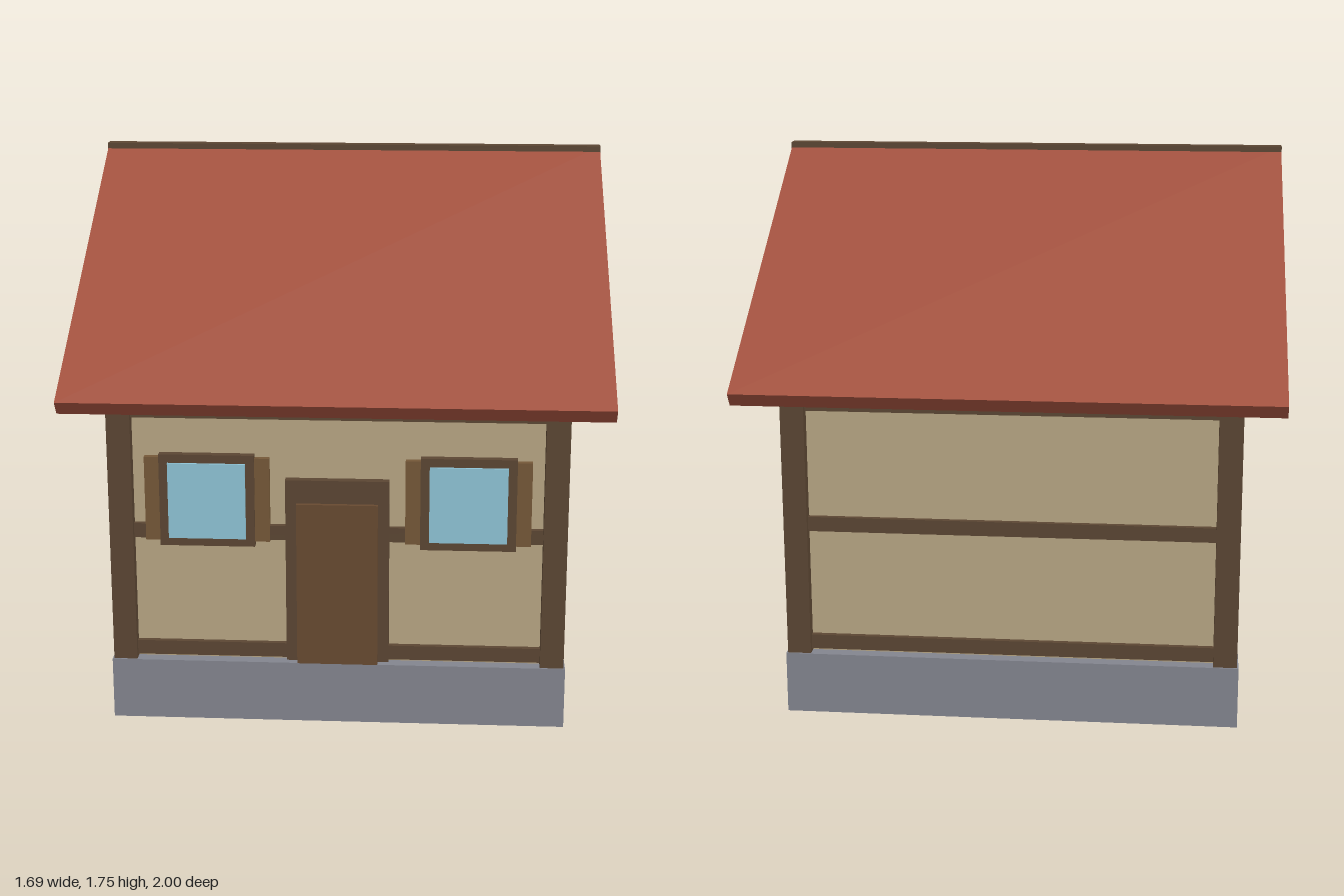
import * as THREE from 'three';

const mat = (color) => new THREE.MeshStandardMaterial({ color, flatShading: true });

export function createModel() {
  const house = new THREE.Group();
  house.name = 'house';
  const stone = mat(0x83858f), plaster = mat(0xb8a684), timber = mat(0x5b4633);
  const tile = mat(0xa04f3c), glass = mat(0x8fc4d6), doorWood = mat(0x684a31), shutterWood = mat(0x755838);

  // Box given by its lower and upper corners
  const box = (name, material, [x0, y0, z0], [x1, y1, z1], parent = house) => {
    const mesh = new THREE.Mesh(new THREE.BoxGeometry(x1 - x0, y1 - y0, z1 - z0), material);
    mesh.position.set((x0 + x1) / 2, (y0 + y1) / 2, (z0 + z1) / 2);
    mesh.name = name;
    parent.add(mesh);
    return mesh;
  };

  // Outline in the (z, y) plane, extruded along x
  const profile = (name, material, points, halfWidth) => {
    const shape = new THREE.Shape(points.map(([z, y]) => new THREE.Vector2(-z, y)));
    const geo = new THREE.ExtrudeGeometry(shape, { depth: halfWidth * 2, bevelEnabled: false });
    geo.translate(0, 0, -halfWidth).rotateY(Math.PI / 2);
    const mesh = new THREE.Mesh(geo, material);
    mesh.name = name;
    house.add(mesh);
  };

  const wallX = 0.685, wallZ = 0.82;

  // Base and walls with gables
  box('foundation', stone, [-0.725, 0, -0.86], [0.725, 0.2, 0.86]);
  profile('walls', plaster,
    [[wallZ, 0.2], [wallZ, 1.06], [0, 1.695], [-wallZ, 1.06], [-wallZ, 0.2]], wallX);

  // Corner posts
  for (const sx of [-1, 1]) for (const sz of [-1, 1]) {
    const post = box('cornerPost', timber, [-0.0375, 0.2, -0.036], [0.0375, 1.07, 0.036]);
    post.position.x = sx * 0.6825;
    post.position.z = sz * 0.819;
  }

  // Horizontal beams on all four walls
  for (const y of [0.21, 0.608, 1.003]) for (const s of [-1, 1]) {
    const long = box('wallBeam', timber, [-0.66, y, -0.02], [0.66, y + 0.047, 0.02]);
    long.position.z = s * (wallZ - 0.003);
    const side = box('gableBeam', timber, [-0.02, y, -0.8], [0.02, y + 0.047, 0.8]);
    side.position.x = s * (wallX - 0.003);
  }

  // Roof slopes, mirrored front to back, and ridge cap
  for (const s of [1, -1]) {
    profile('roofSlope', tile, [[0, 1.75], [s, 1.092], [s * 0.972, 1.05], [0, 1.69]], 0.845);
  }
  box('ridgeCap', timber, [-0.846, 1.715, -0.024], [0.846, 1.753, 0.024]);

  // Window facing +z, its origin on the wall surface
  const addWindow = (x, z, turn) => {
    const win = new THREE.Group();
    win.name = 'window';
    box('windowFrame', timber, [-0.15, 0.587, -0.01], [0.15, 0.887, 0.026], win);
    box('windowPane', glass, [-0.122, 0.614, 0], [0.122, 0.86, 0.034], win);
    for (const s of [-1, 1]) {
      const shutter = box('shutter', shutterWood, [-0.03, 0.602, -0.01], [0.03, 0.876, 0.019], win);
      shutter.position.x = s * 0.167;
    }
    win.position.set(x, 0, z);
    win.rotation.y = turn;
    house.add(win);
  };
  for (const s of [-1, 1]) {
    addWindow(s * 0.41, wallZ, 0);
    addWindow(s * wallX, 0, s * Math.PI / 2);
  }

  // Front door
  box('doorFrame', timber, [-0.163, 0.205, 0.8], [0.163, 0.81, 0.848]);
  box('door', doorWood, [-0.128, 0.2, 0.8], [0.128, 0.735, 0.862]);

  return house;
}
